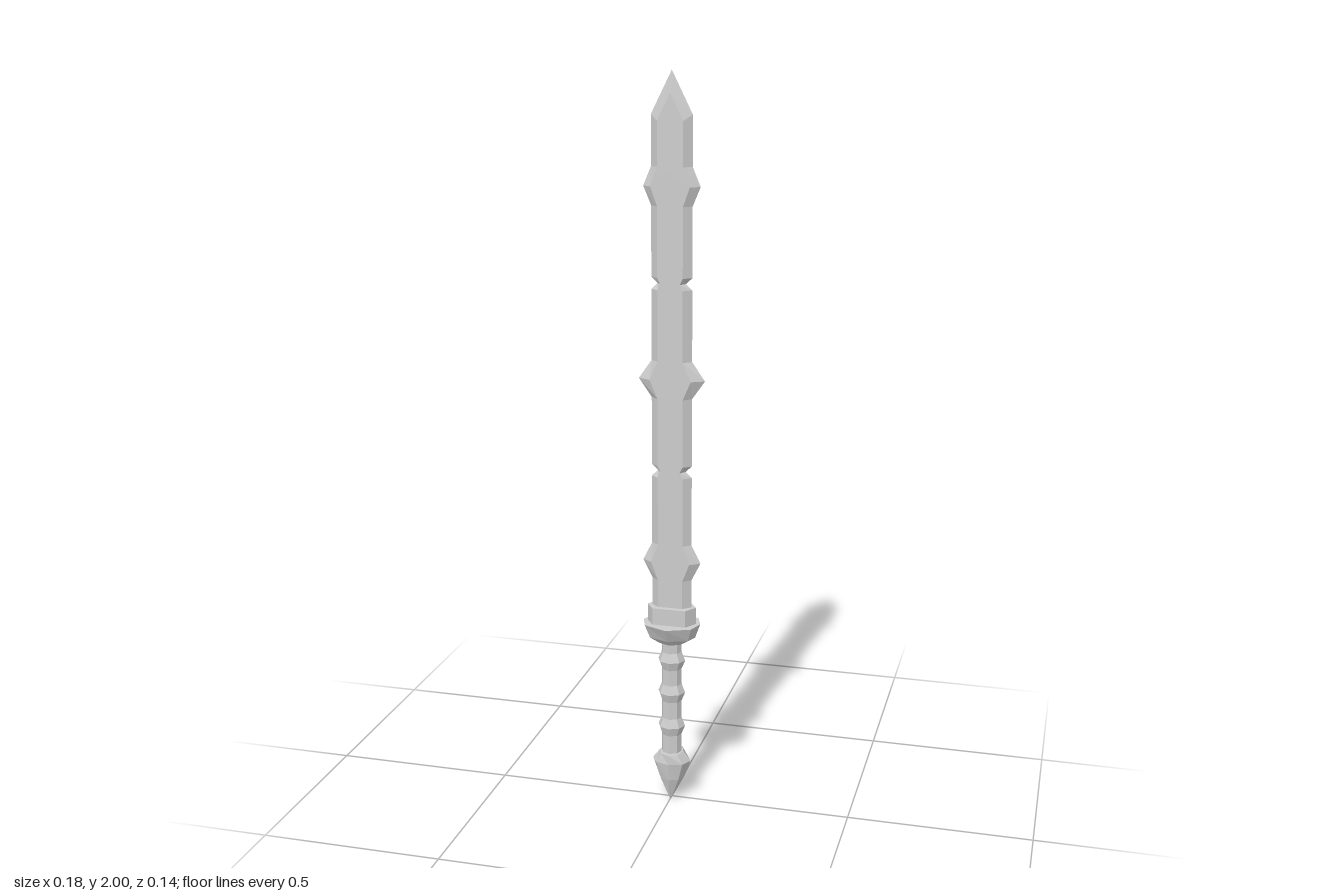
import * as THREE from 'three';

const material = new THREE.MeshStandardMaterial({ color: 0xcccccc, flatShading: true });

// Skin a stack of closed rings (each a list of Vector3, bottom to top) and cap both ends
function loft(name, rings) {
  const pos = [];
  const tri = (a, b, c) => {
    const area = b.clone().sub(a).cross(c.clone().sub(a)).length();
    if (area > 1e-8) for (const p of [a, b, c]) pos.push(p.x, p.y, p.z);
  };
  const n = rings[0].length;
  for (let r = 0; r < rings.length - 1; r++) {
    const lo = rings[r], hi = rings[r + 1];
    for (let i = 0; i < n; i++) {
      const j = (i + 1) % n;
      tri(lo[i], hi[i], hi[j]);
      tri(lo[i], hi[j], lo[j]);
    }
  }
  const first = rings[0], last = rings[rings.length - 1];
  for (let i = 1; i < n - 1; i++) {
    tri(first[0], first[i], first[i + 1]);
    tri(last[0], last[i + 1], last[i]);
  }
  const geometry = new THREE.BufferGeometry();
  geometry.setAttribute('position', new THREE.Float32BufferAttribute(pos, 3));
  geometry.computeVertexNormals();
  const mesh = new THREE.Mesh(geometry, material);
  mesh.name = name;
  return mesh;
}

// Hexagon with sharp side edges and flat front and back faces
const hexRing = (edgeX, edgeY, flatX, flatY, z) => [
  [edgeX, edgeY, 0], [flatX, flatY, z], [-flatX, flatY, z],
  [-edgeX, edgeY, 0], [-flatX, flatY, -z], [flatX, flatY, -z],
].map((p) => new THREE.Vector3(...p));

// Octagon with a corner on each axis; dx and dz place the diagonal corners
const octRing = (y, rx, rz, dx = 0.707, dz = 0.707) => [
  [1, 0], [dx, dz], [0, 1], [-dx, dz], [-1, 0], [-dx, -dz], [0, -1], [dx, -dz],
].map(([x, z]) => new THREE.Vector3(x * rx, y, z * rz));

function createBlade() {
  const W = 0.055, F = 0.034, T = 0.019;
  const rings = [hexRing(W, 0.55, F, 0.55, T)];
  // Spikes and notches along the edges: height, half length, edge x, flat x
  const features = [
    [0.70, 0.05, 0.08, 0.053],
    [0.955, 0.016, 0.038, 0.026],
    [1.205, 0.05, 0.09, 0.056],
    [1.46, 0.016, 0.038, 0.026],
    [1.71, 0.05, 0.076, 0.052],
  ];
  for (const [y, h, edge, flat] of features) {
    rings.push(hexRing(W, y - h, F, y - h, T), hexRing(edge, y, flat, y, T), hexRing(W, y + h, F, y + h, T));
  }
  // Shoulder, then bevelled point
  rings.push(hexRing(W, 1.89, F, 1.875, T), hexRing(0, 2, 0, 1.945, T));
  return loft('blade', rings);
}

function createGrip() {
  const rings = [octRing(0.13, 0.028, 0.028)];
  for (const y of [0.22, 0.32, 0.415]) {
    rings.push(octRing(y - 0.025, 0.028, 0.028), octRing(y, 0.038, 0.036), octRing(y + 0.025, 0.028, 0.028));
  }
  rings.push(octRing(0.48, 0.028, 0.028));
  return loft('grip', rings);
}

export function createModel() {
  const model = new THREE.Group();
  model.name = 'sword';
  model.add(
    createBlade(),
    loft('collar', [0.51, 0.572].map((y) => hexRing(0.068, y, 0.046, y, 0.034))),
    loft('guard', [
      octRing(0.468, 0.036, 0.034, 0.81, 0.62),
      octRing(0.485, 0.066, 0.05, 0.81, 0.62),
      octRing(0.525, 0.08, 0.072, 0.81, 0.62),
    ]),
    createGrip(),
    // Pommel narrows to a short edge running front to back
    loft('pommel', [
      octRing(0, 0.002, 0.018, 0.8, 0.8),
      octRing(0.065, 0.036, 0.036),
      octRing(0.115, 0.054, 0.043),
      octRing(0.142, 0.033, 0.041),
    ]),
  );
  return model;
}
